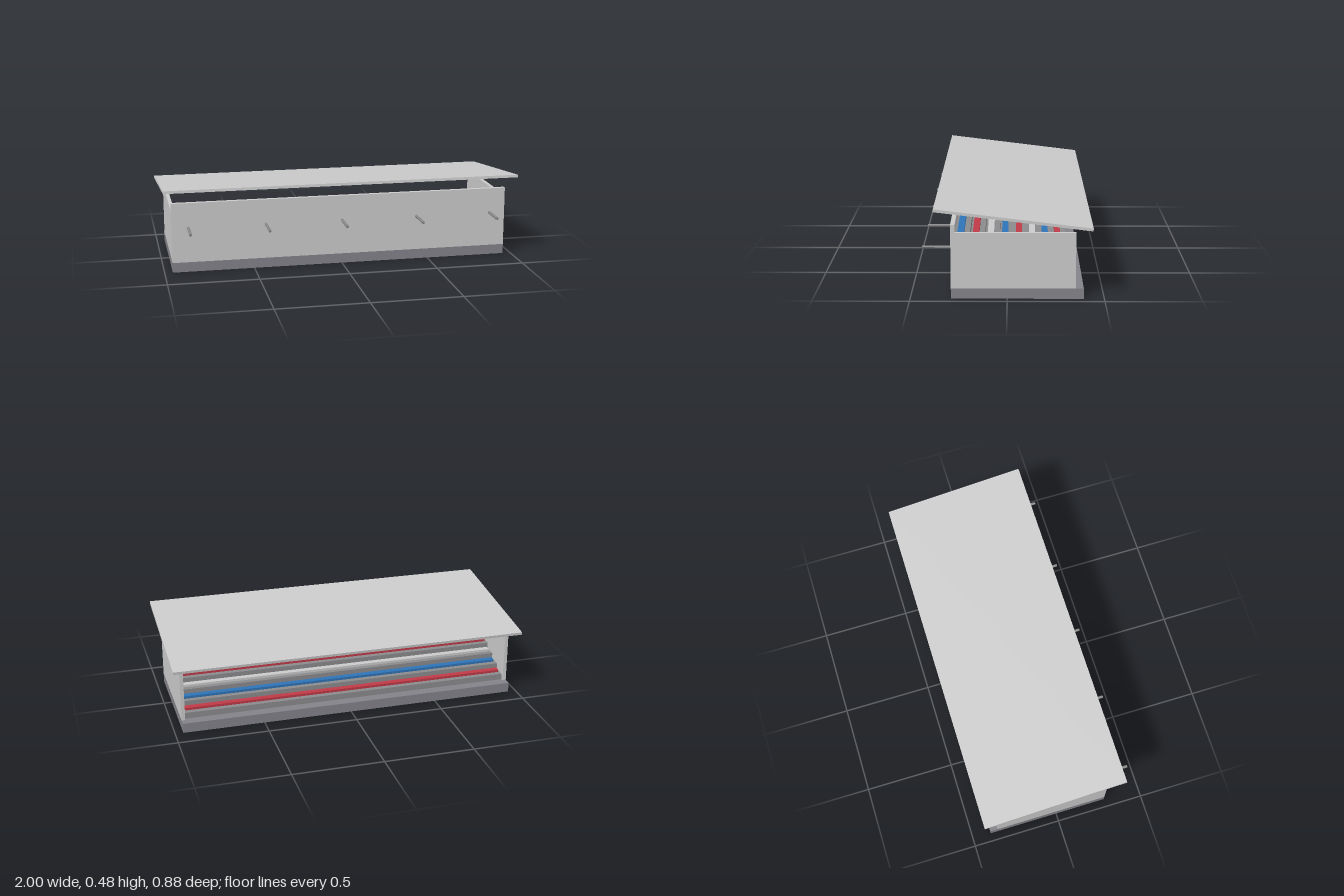
import * as THREE from 'three';

export function createModel() {
  const model = new THREE.Group();
  const mat = (color) => new THREE.MeshStandardMaterial({ color, flatShading: true });
  const grey = mat(0xcccccc);
  const concrete = mat(0x84838a);
  const stepGrey = mat(0x8c8c8e);
  const poleGrey = mat(0x888888);
  const seatColors = [mat(0xc23a48), mat(0x2f74b8), mat(0xcccccc)];

  // Box given by its limits on each axis
  function box(name, material, [x0, x1], [y0, y1], [z0, z1]) {
    const mesh = new THREE.Mesh(new THREE.BoxGeometry(x1 - x0, y1 - y0, z1 - z0), material);
    mesh.position.set((x0 + x1) / 2, (y0 + y1) / 2, (z0 + z1) / 2);
    mesh.name = name;
    model.add(mesh);
    return mesh;
  }

  const halfW = 0.955, wall = 0.02, baseTop = 0.055;
  const wallFront = 0.29, wallInner = 0.267;

  // Foundation slab and enclosing walls
  box('base', concrete, [-halfW, halfW], [0, baseTop], [-0.394, wallFront]);
  box('rearWall', grey, [-halfW, halfW], [baseTop, 0.392], [wallInner, wallFront]);
  box('leftWall', grey, [halfW - wall, halfW], [baseTop, 0.35], [-0.352, wallInner]);
  box('rightWall', grey, [-halfW, -halfW + wall], [baseTop, 0.35], [-0.352, wallInner]);

  // Terraced steps, each carrying a coloured bench
  const rows = 8, first = -0.335, inner = halfW - wall;
  const depth = (wallInner - first) / rows, rise = 0.0345;
  for (let i = 0; i < rows; i++) {
    const z = first + i * depth;
    const top = baseTop + (i + 1) * rise;
    box('step', stepGrey, [-inner, inner], [baseTop, top], [z, z + depth]);
    box('bench', seatColors[i % 3], [-inner + 0.01, inner - 0.01],
      [top, top + 0.014], [z + 0.03, z + 0.064]);
  }

  // Sloping roof
  const roof = box('roof', grey, [-1, 1], [0.4205, 0.4355], [-0.439, 0.377]);
  roof.rotation.x = -0.1217;

  // Poles projecting from the wall
  for (let i = -2; i <= 2; i++) {
    const pole = new THREE.Mesh(new THREE.CylinderGeometry(0.008, 0.008, 0.15, 8), poleGrey);
    pole.rotation.x = Math.PI / 2;
    pole.position.set(i * 0.432, 0.251, wallFront + 0.075);
    pole.name = 'pole';
    model.add(pole);
  }

  return model;
}
